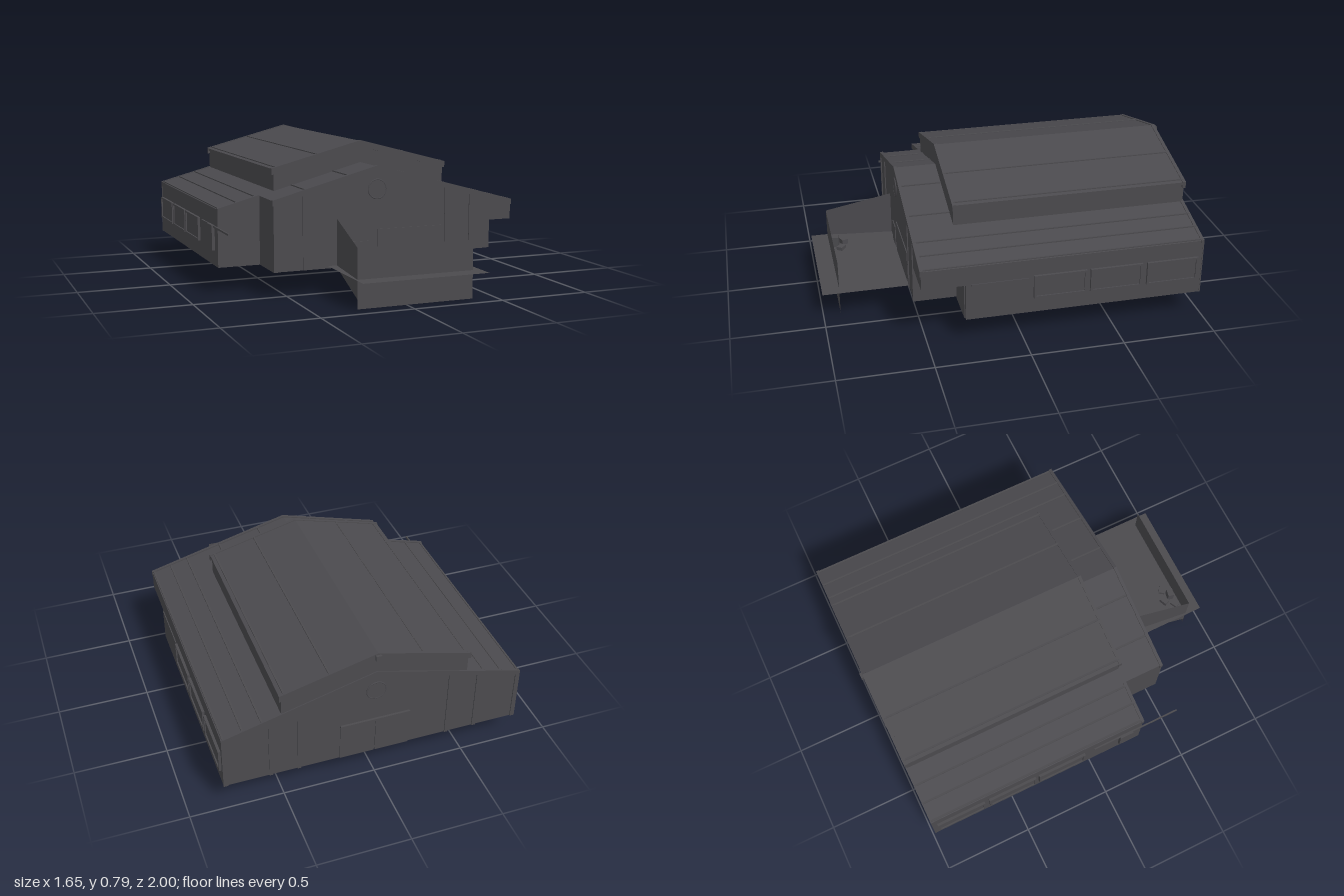
import * as THREE from 'three';

export function createModel() {
  const model = new THREE.Group();
  const grey = new THREE.MeshStandardMaterial({ color: 0x4b4a4e, side: THREE.DoubleSide });
  grey.name = 'dark grey';

  const BASE = 0.137, BACK = -0.98, STEP = 0.3, FRONT = 0.53;
  const roofY = x => 0.665 - 0.27 * Math.abs(x);
  const monitorY = x => 0.78 - 0.262 * Math.abs(x);

  function add(name, geometry, parent = model) {
    const mesh = new THREE.Mesh(geometry, grey);
    mesh.name = name;
    parent.add(mesh);
    return mesh;
  }
  // box given by its extents on each axis
  function box(name, x0, x1, y0, y1, z0, z1) {
    const g = new THREE.BoxGeometry(x1 - x0, y1 - y0, z1 - z0);
    g.translate((x0 + x1) / 2, (y0 + y1) / 2, (z0 + z1) / 2);
    return add(name, g);
  }
  // front outline pushed from z0 to z1
  function prism(name, points, z0, z1) {
    const shape = new THREE.Shape(points.map(p => new THREE.Vector2(...p)));
    const g = new THREE.ExtrudeGeometry(shape, { depth: z1 - z0, bevelEnabled: false });
    g.translate(0, 0, z0);
    return add(name, g);
  }
  // gable-shaped board following a roof line
  function gableBoard(name, line, x0, x1, up, down, z0, z1) {
    prism(name, [[x0, line(x0) - down], [0, line(0) - down], [x1, line(x1) - down],
      [x1, line(x1) + up], [0, line(0) + up], [x0, line(x0) + up]], z0, z1);
  }
  // flat sheet through four corners
  function sheet(name, corners) {
    const g = new THREE.BufferGeometry();
    g.setAttribute('position', new THREE.Float32BufferAttribute(corners.flat(), 3));
    g.setIndex([0, 1, 2, 0, 2, 3]);
    g.computeVertexNormals();
    add(name, g);
  }

  // main hall, front bay and the canopy over the recessed corner
  prism('mainHall', [[-0.81, BASE], [0.81, BASE], [0.81, roofY(0.81)], [0, roofY(0)], [-0.81, roofY(0.81)]], BACK, STEP);
  prism('frontBay', [[-0.58, BASE], [0.57, BASE], [0.57, roofY(0.57)], [0, roofY(0)], [-0.58, roofY(0.58)]], STEP, FRONT);
  prism('cornerCanopy', [[0.57, 0.34], [0.81, 0.34], [0.81, roofY(0.81)], [0.57, roofY(0.57)]], STEP, FRONT);

  // raised roof along the ridge
  prism('raisedRoof', [[-0.5, 0.5], [0.5, 0.5], [0.5, monitorY(0.5)], [0, monitorY(0)], [-0.5, monitorY(0.5)]], BACK, STEP);
  gableBoard('raisedRoofCover', monitorY, -0.51, 0.51, 0.002, 0.012, BACK, STEP);
  for (const [z0, z1] of [[STEP - 0.012, STEP + 0.006], [BACK - 0.007, BACK + 0.012]])
    gableBoard('raisedRoofTrim', monitorY, -0.512, 0.512, 0.006, 0.03, z0, z1);

  // gable trim of the lower roof
  gableBoard('frontTrim', roofY, -0.585, 0.812, 0.006, 0.025, FRONT - 0.012, FRONT + 0.006);
  gableBoard('backTrim', roofY, -0.812, 0.812, 0.004, 0.025, BACK - 0.006, BACK + 0.012);
  prism('stepTrim', [[-0.812, roofY(0.812) - 0.025], [-0.58, roofY(0.58) - 0.025],
    [-0.58, roofY(0.58) + 0.006], [-0.812, roofY(0.812) + 0.006]], STEP - 0.012, STEP + 0.006);

  // roof battens running lengthwise
  for (const s of [-1, 1]) {
    for (const x of [0.25, 0.485])
      box('raisedRoofBatten', s * x - 0.005, s * x + 0.005, monitorY(x) - 0.01, monitorY(x) + 0.006, BACK, STEP);
    for (const x of [0.6, 0.7, 0.8])
      box('lowerRoofBatten', s * x - 0.005, s * x + 0.005, roofY(x) - 0.01, roofY(x) + 0.005, BACK, s > 0 ? FRONT : STEP);
    for (const x of [0.16, 0.4])
      box('frontRoofBatten', s * x - 0.005, s * x + 0.005, roofY(x) - 0.01, roofY(x) + 0.005, STEP, FRONT);
  }

  // wall posts at both gable ends
  for (const x of [-0.57, -0.41, 0.41, 0.56]) {
    box('frontPost', x - 0.01, x + 0.01, BASE, roofY(x), FRONT, FRONT + 0.006);
    box('backPost', x - 0.01, x + 0.01, BASE, roofY(x), BACK - 0.006, BACK);
  }
  for (const s of [-1, 1]) box('backCornerPost', s * 0.8 - 0.012, s * 0.8 + 0.012, BASE, 0.44, BACK - 0.006, BACK);

  // round gable windows
  for (const z of [FRONT, BACK]) {
    const pane = add('roundWindow', new THREE.CylinderGeometry(0.05, 0.05, 0.008, 32));
    pane.rotation.x = Math.PI / 2;
    pane.position.set(0, 0.545, z);
    const rim = add('roundWindowRim', new THREE.TorusGeometry(0.051, 0.004, 6, 32));
    rim.position.set(0, 0.545, z + Math.sign(z) * 0.002);
  }

  // side window panels with frames
  for (const s of [-1, 1]) {
    for (const z of [-0.815, -0.505, -0.2]) {
      const panel = (name, z0, z1, y0, y1, d) =>
        box(name, Math.min(s * 0.81, s * d), Math.max(s * 0.81, s * d), y0, y1, z0, z1);
      panel('sideWindow', z - 0.14, z + 0.14, 0.225, 0.355, 0.817);
      for (const e of [-1, 1]) {
        panel('windowFrameSide', z + e * 0.136 - 0.006, z + e * 0.136 + 0.006, 0.225, 0.355, 0.824);
        const y = 0.29 + e * 0.06;
        panel('windowFrameRail', z - 0.14, z + 0.14, y - 0.005, y + 0.005, 0.824);
      }
    }
  }
  box('leftSidePanel', -0.826, -0.81, 0.22, 0.355, 0.16, 0.24);

  // sliding door rails
  box('rightRail', 0.81, 0.815, 0.333, 0.343, -0.03, 0.27);
  box('leftRail', -0.818, -0.81, 0.343, 0.353, 0, 0.52);
  box('backRail', -0.19, 0.19, 0.345, 0.357, -0.992, BACK);

  // doors
  box('cargoDoor', 0, 0.38, BASE, 0.33, FRONT, FRONT + 0.005);
  box('personDoor', -0.137, -0.05, BASE, 0.27, FRONT, FRONT + 0.005);
  box('backDoorLeft', -0.19, -0.003, BASE, 0.34, BACK - 0.005, BACK);
  box('backDoorRight', 0.003, 0.19, BASE, 0.34, BACK - 0.005, BACK);
  box('recessDoor', 0.59, 0.79, BASE, 0.325, STEP, STEP + 0.005);

  // ridge beam end
  box('ridgeBeam', -0.015, 0.015, 0.748, 0.776, -1, BACK);

  // forecourt sheets
  sheet('forecourt', [[-0.28, 0.15, 1], [0.42, 0.15, 1], [0.42, 0.15, FRONT], [-0.28, 0.15, FRONT]]);
  sheet('frontScreen', [[-0.27, 0, 0.906], [0.375, 0, 0.906], [0.375, 0.31, 0.906], [-0.27, 0.31, 0.906]]);
  sheet('sideScreen', [[-0.27, 0.05, 0.906], [-0.23, 0.14, FRONT], [-0.23, 0.4, FRONT], [-0.27, 0.31, 0.906]]);

  // loose crates on the forecourt
  for (const [x, z, h, turn] of [[-0.19, 0.875, 0.02, 0.5], [-0.13, 0.87, 0.06, -0.2], [-0.08, 0.845, 0.02, -0.6], [-0.15, 0.825, 0.03, 0.4]]) {
    const crate = add('crate', new THREE.BoxGeometry(0.045, h, 0.035));
    crate.position.set(x, 0.15 + h / 2, z);
    crate.rotation.y = turn;
  }
  return model;
}
